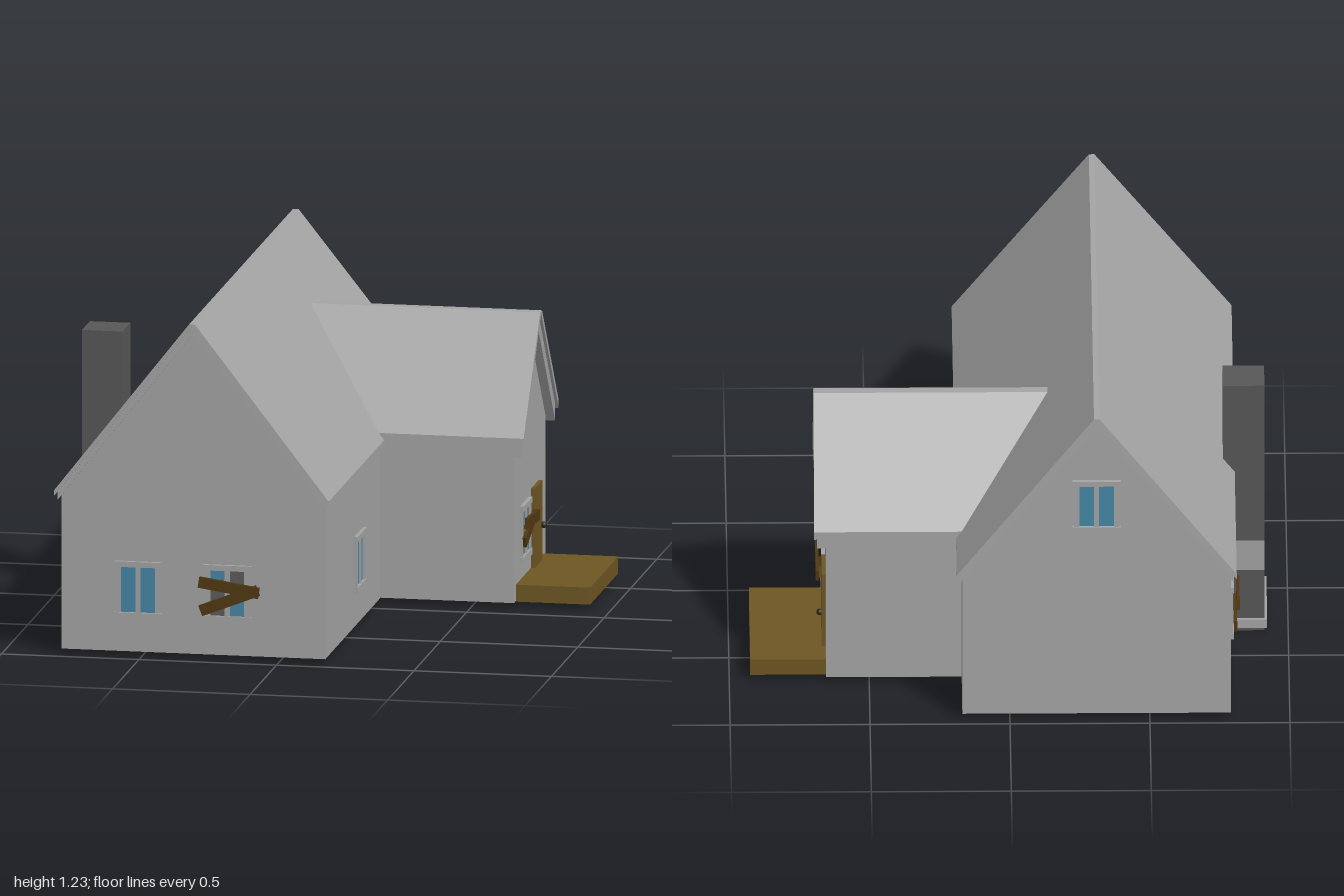
import * as THREE from 'three';

const mat = (name, hex) => {
  const m = new THREE.MeshStandardMaterial({ color: hex });
  m.name = name;
  return m;
};

export function createModel() {
  const house = new THREE.Group();
  house.name = 'house';
  const plaster = mat('greyPlaster', 0xa4a4a4);
  const stone = mat('darkStone', 0x575757);
  const wood = mat('porchWood', 0x6e5623);
  const plank = mat('boardWood', 0x513812);
  const glass = mat('blueGlass', 0x4687a6);
  const gap = mat('brokenPaneGap', 0x5e5a5c);
  const iron = mat('darkIron', 0x2c2617);

  const add = (parent, name, geometry, material) => {
    const mesh = new THREE.Mesh(geometry, material);
    mesh.name = name;
    parent.add(mesh);
    return mesh;
  };
  // Box given by its minimum and maximum corners
  const block = (parent, name, material, x0, x1, y0, y1, z0, z1) => {
    const mesh = add(parent, name, new THREE.BoxGeometry(x1 - x0, y1 - y0, z1 - z0), material);
    mesh.position.set((x0 + x1) / 2, (y0 + y1) / 2, (z0 + z1) / 2);
    return mesh;
  };
  // Outline pushed along z from z0 to z1
  const prism = (points, z0, z1) => {
    const shape = new THREE.Shape(points.map(([x, y]) => new THREE.Vector2(x, y)));
    const g = new THREE.ExtrudeGeometry(shape, { depth: z1 - z0, bevelEnabled: false });
    return g.translate(0, 0, z0);
  };
  const gable = (half, eave, peak) =>
    [[-half, 0.02], [half, 0.02], [half, eave], [0, peak], [-half, eave]];
  // Roof layer: flat ridge of half width f, vertical thickness t
  const chevron = (half, eave, slope, f, t) => {
    const ridge = eave + slope * (half - f);
    return [[-half, eave], [-half, eave - t], [0, eave - t + slope * half],
      [half, eave - t], [half, eave], [f, ridge], [-f, ridge]];
  };

  // Main building
  const main = new THREE.Group();
  main.name = 'mainBuilding';
  main.position.x = -0.31;
  house.add(main);
  add(main, 'mainWalls', prism(gable(0.48, 0.585, 1.198), -0.96, 0.96), plaster);
  const lean = (g) => {
    // Gable ends lean in slightly towards the ridge
    const p = g.attributes.position;
    for (let i = 0; i < p.count; i++) {
      p.setZ(i, p.getZ(i) * (1 - 0.015 * (p.getY(i) - 0.57) / 0.66));
    }
    g.computeVertexNormals();
    return g;
  };
  add(main, 'mainRoof', lean(prism(chevron(0.5, 0.605, 1.276, 0.01, 0.02), -1, 1)), plaster);
  add(main, 'mainRoofTrim', lean(prism(chevron(0.488, 0.6, 1.276, 0.002, 0.03), -0.992, 0.992)), plaster);

  // Side wing, built facing +z and turned to +x
  const wing = new THREE.Group();
  wing.name = 'sideWing';
  wing.position.z = -0.387;
  wing.rotation.y = Math.PI / 2;
  house.add(wing);
  add(wing, 'wingWalls', prism(gable(0.297, 0.588, 0.96), 0, 0.655), plaster);
  add(wing, 'wingRoof', prism(chevron(0.333, 0.63, 1.254, 0.018, 0.03), -0.25, 0.697), plaster);
  add(wing, 'wingRoofTrim', prism(chevron(0.318, 0.619, 1.254, 0.002, 0.062), -0.15, 0.687), plaster);

  // Chimney with a wide foot, and its base slab
  const chimney = add(house, 'chimney', prism([
    [-0.15, 0], [0.15, 0], [0.15, 0.245], [0.075, 0.325],
    [0.075, 0.955], [-0.075, 0.955], [-0.075, 0.325], [-0.15, 0.245],
  ], -0.916, -0.768), stone);
  chimney.rotation.y = Math.PI / 2;
  chimney.position.z = -0.163;
  block(house, 'chimneySlab', plaster, -0.925, -0.78, 0.015, 0.05, -0.325, 0);

  // Porch and door
  block(house, 'porch', wood, 0.635, 0.925, 0.018, 0.08, -0.66, -0.125);
  block(house, 'door', wood, 0.65, 0.669, 0.08, 0.37, -0.562, -0.412);
  const knob = add(house, 'doorKnob', new THREE.SphereGeometry(0.012, 12, 8), iron);
  knob.position.set(0.676, 0.21, -0.545);

  // Window facing local +z; boards are [x0, y0, x1, y1] centre lines
  const addWindow = (x, y, z, turn, boards = []) => {
    const w = new THREE.Group();
    w.name = boards.length ? 'boardedWindow' : 'window';
    w.position.set(x, y, z);
    w.rotation.y = turn;
    house.add(w);
    block(w, 'lintel', plaster, -0.087, 0.087, 0.085, 0.105, -0.005, 0.014);
    block(w, 'sill', plaster, -0.087, 0.087, -0.105, -0.081, -0.005, 0.014);
    block(w, 'mullion', plaster, -0.009, 0.009, -0.081, 0.085, -0.005, 0.01);
    for (const s of [-1, 1]) {
      const c = s * 0.0715;
      block(w, 'jamb', plaster, c - 0.0095, c + 0.0095, -0.081, 0.085, -0.005, 0.01);
      const p = s * 0.0355;
      block(w, 'pane', boards.length ? gap : glass, p - 0.027, p + 0.027, -0.081, 0.085, -0.003, 0.003);
    }
    if (boards.length) {
      // Glass left in the broken panes
      add(w, 'upperShard', prism([[-0.062, 0.085], [-0.062, 0.035], [-0.048, 0.05],
        [-0.036, 0.03], [-0.022, 0.055], [-0.009, 0.045], [-0.009, 0.085]], 0.003, 0.005), glass);
      add(w, 'lowerShard', prism([[0.009, -0.081], [0.062, -0.081], [0.062, -0.01],
        [0.05, -0.03], [0.038, -0.012], [0.025, -0.035], [0.009, -0.02]], 0.003, 0.005), glass);
    }
    boards.forEach(([x0, y0, x1, y1], i) => {
      const len = Math.hypot(x1 - x0, y1 - y0);
      const b = add(w, 'board', new THREE.BoxGeometry(len, 0.04, 0.012), plank);
      b.position.set((x0 + x1) / 2, (y0 + y1) / 2, 0.019 + i * 0.009);
      b.rotation.z = Math.atan2(y1 - y0, x1 - x0);
    });
  };
  const right = Math.PI / 2;
  addWindow(-0.51, 0.245, 0.96, 0);
  addWindow(-0.185, 0.245, 0.96, 0, [[-0.095, -0.062, 0.113, 0.02], [-0.1, 0.045, 0.118, 0.012]]);
  addWindow(0.17, 0.245, 0.33, right);
  addWindow(0.655, 0.245, -0.285, right, [[-0.092, -0.025, 0.1, 0.04], [-0.105, 0.046, 0.118, 0.034]]);
  addWindow(-0.79, 0.245, -0.55, -right, [[-0.1, -0.045, 0.105, -0.045], [-0.12, 0.055, 0.115, 0.03]]);
  addWindow(-0.79, 0.245, 0.2, -right);
  addWindow(-0.79, 0.245, 0.69, -right);
  addWindow(-0.31, 0.865, -0.96, Math.PI);

  return house;
}
